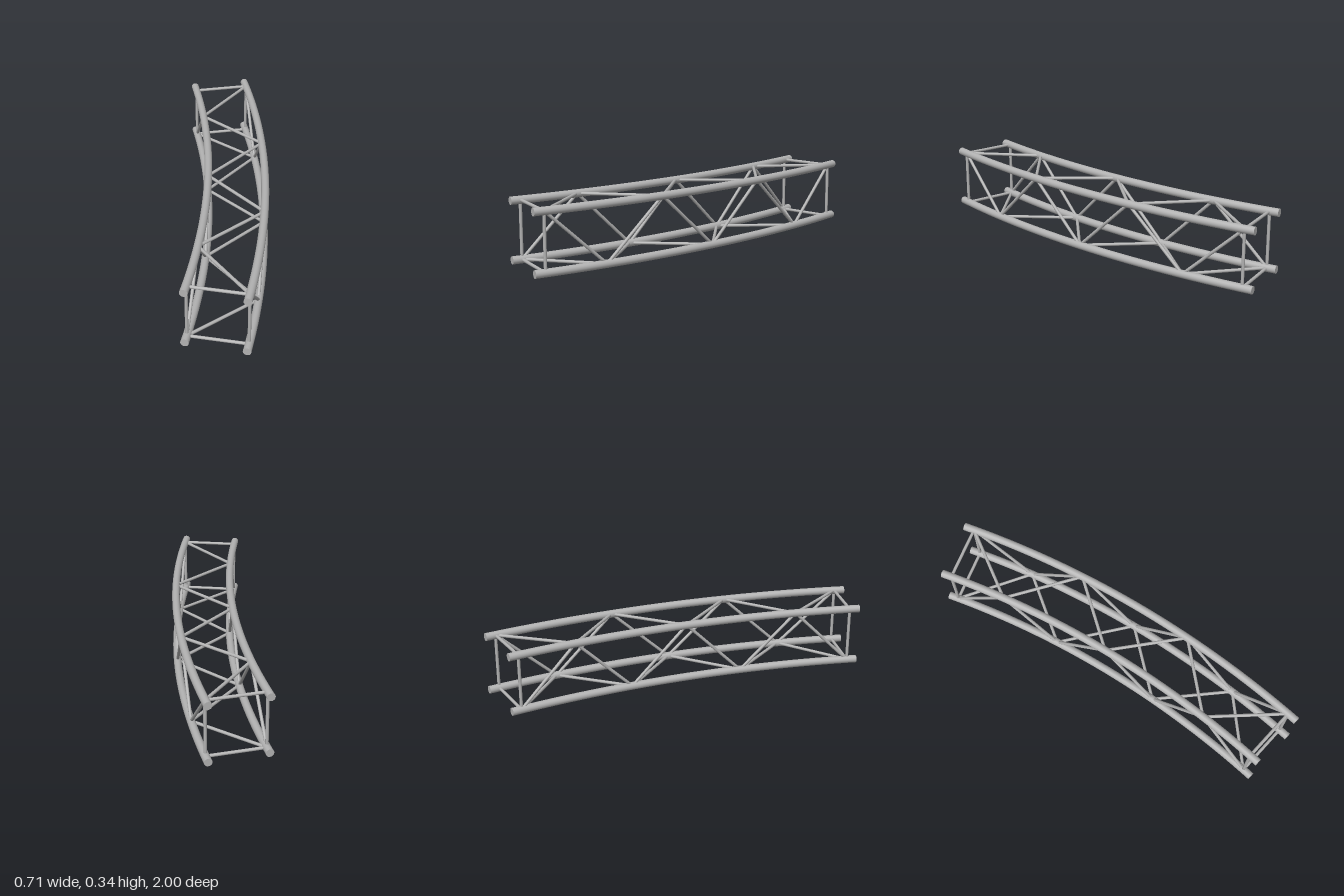
import * as THREE from 'three';

const CX = -4.873;                       // centre of the bend, at z = 1
const R_IN = 4.911, R_OUT = 5.206;       // inner and outer chord radii
const SWEEP = Math.PI / 8;
const Y_LOW = 0.0205, Y_HIGH = 0.3165;
const CHORD_R = 0.0205, BAR_R = 0.0082;
const PANELS = 6, MARGIN = 0.0105;

const at = (r, y, a) => new THREE.Vector3(CX + r * Math.cos(a), y, 1 - r * Math.sin(a));

class ChordCurve extends THREE.Curve {
  constructor(r, y) { super(); this.r = r; this.y = y; }
  getPoint(t, target = new THREE.Vector3()) { return target.copy(at(this.r, this.y, t * SWEEP)); }
}

export function createModel() {
  const model = new THREE.Group();
  model.name = 'curvedTruss';
  const metal = new THREE.MeshStandardMaterial({ color: 0xb2b2b2 });
  metal.name = 'aluminium grey';

  const add = (geometry, name) => {
    const mesh = new THREE.Mesh(geometry, metal);
    mesh.name = name;
    model.add(mesh);
    return mesh;
  };

  // Straight round bar between two points
  const bar = (a, b, name) => {
    const dir = b.clone().sub(a);
    const mesh = add(new THREE.CylinderGeometry(BAR_R, BAR_R, dir.length(), 12, 1, true), name);
    mesh.position.copy(a).add(b).multiplyScalar(0.5);
    mesh.quaternion.setFromUnitVectors(new THREE.Vector3(0, 1, 0), dir.normalize());
  };

  // Four bent chords with flat end caps
  for (const [r, side] of [[R_IN, 'inner'], [R_OUT, 'outer']]) {
    for (const [y, level] of [[Y_LOW, 'Bottom'], [Y_HIGH, 'Top']]) {
      add(new THREE.TubeGeometry(new ChordCurve(r, y), 32, CHORD_R, 16, false), `${side}${level}Chord`);
      for (const [a, turn] of [[0, 0], [SWEEP, Math.PI + SWEEP]]) {
        const cap = add(new THREE.CircleGeometry(CHORD_R, 16), `${side}${level}Cap`);
        cap.position.copy(at(r, y, a));
        cap.rotation.y = turn;
      }
    }
  }

  // Corners in order round the section; each face joins two neighbours
  const corners = [[R_OUT, Y_HIGH], [R_IN, Y_HIGH], [R_IN, Y_LOW], [R_OUT, Y_LOW]];
  const faces = ['top', 'inner', 'bottom', 'outer'];
  const node = (c, i) => at(...corners[c % 4], MARGIN + (i * (SWEEP - 2 * MARGIN)) / PANELS);

  faces.forEach((face, f) => {
    // Square frames at both ends
    for (const i of [0, PANELS]) bar(node(f, i), node(f + 1, i), `${face}EndBar`);
    // Zigzag: even joints on corners 0 and 2, odd joints on corners 1 and 3
    const corner = (i) => ((f + i) % 2 === 0 ? f : f + 1);
    for (let i = 0; i < PANELS; i++) {
      bar(node(corner(i), i), node(corner(i + 1), i + 1), `${face}Diagonal`);
    }
  });

  return model;
}
